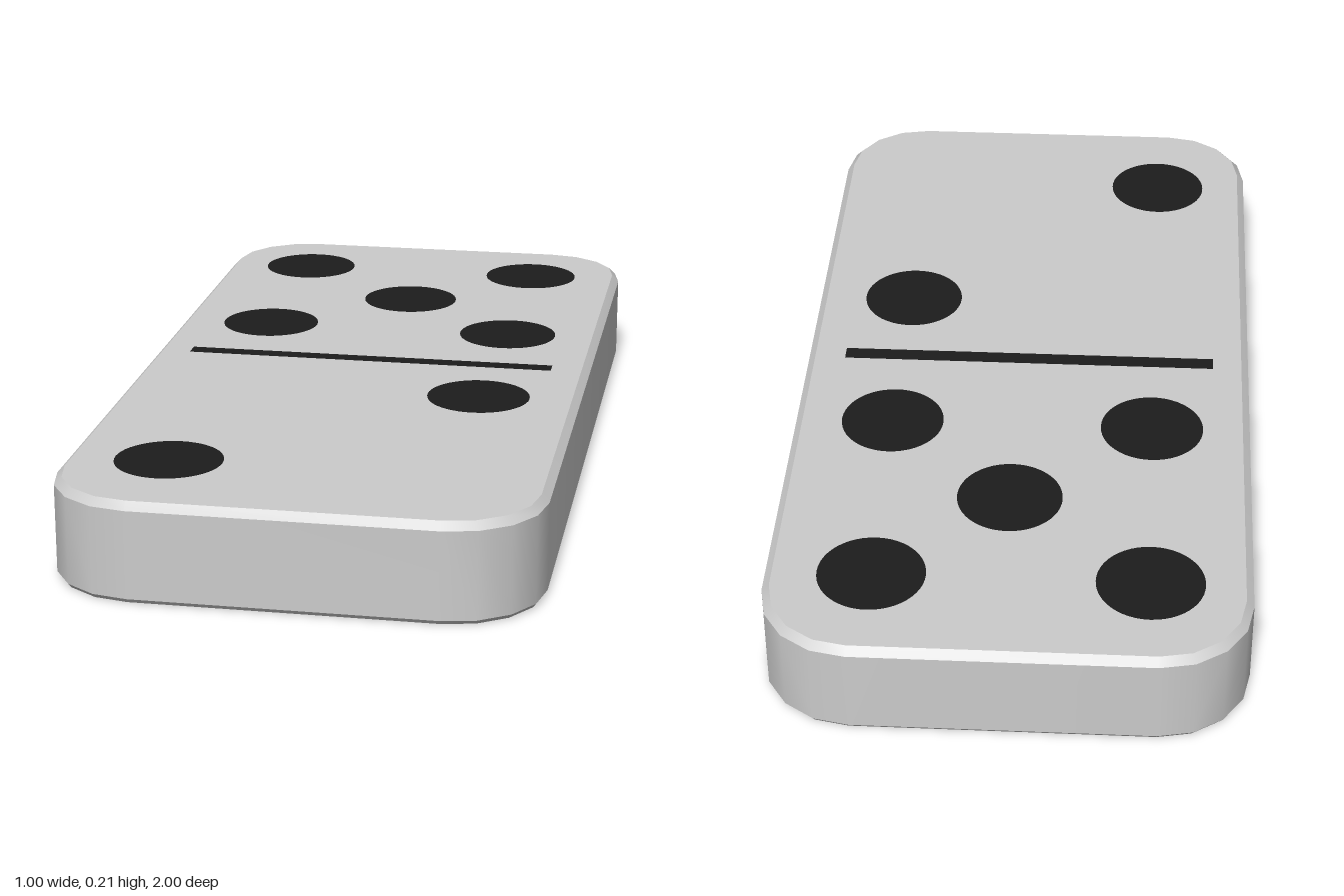
import * as THREE from 'three';
import { toCreasedNormals } from 'three/addons/utils/BufferGeometryUtils.js';
import { ConvexGeometry } from 'three/addons/geometries/ConvexGeometry.js';

const HEIGHT = 0.212;
const PROUD = 0.001; // how far the markings stand out of both faces

// Rounded-rectangle outline at height y, shrunk by inset
function outline(y, inset) {
  const radius = 0.19, steps = 4, points = [];
  for (let corner = 0; corner < 4; corner++) {
    const sx = corner === 0 || corner === 3 ? 1 : -1;
    const sz = corner < 2 ? 1 : -1;
    for (let i = 0; i <= steps; i++) {
      const a = (corner + i / steps) * Math.PI / 2;
      points.push(new THREE.Vector3(
        sx * (0.5 - radius) + Math.cos(a) * (radius - inset),
        y,
        sz * (1 - radius) + Math.sin(a) * (radius - inset)));
    }
  }
  return points;
}

export function createModel() {
  const group = new THREE.Group();
  group.name = 'dominoTile';
  const bodyMaterial = new THREE.MeshStandardMaterial({ color: 0xcccccc });
  const markMaterial = new THREE.MeshStandardMaterial({ color: 0x1c1c1c });

  function add(name, geometry, material, x = 0, y = 0, z = 0) {
    const mesh = new THREE.Mesh(geometry, material);
    mesh.name = name;
    mesh.position.set(x, y, z);
    group.add(mesh);
  }

  // Tile body: bevelled top edge, slightly eased bottom edge
  const rings = [
    ...outline(PROUD, 0.007),
    ...outline(0.01, 0),
    ...outline(0.195, 0),
    ...outline(HEIGHT - PROUD, 0.016),
  ];
  add('body', toCreasedNormals(new ConvexGeometry(rings), 0.5), bodyMaterial);

  // Pips run right through the tile: five at the back, two at the front
  const pips = [
    [-0.29, -0.765], [0.28, -0.765], [0.012, -0.505], [-0.285, -0.25], [0.285, -0.25],
    [0.28, 0.225], [-0.285, 0.74],
  ];
  const pip = new THREE.CylinderGeometry(0.112, 0.112, HEIGHT, 48);
  pips.forEach(([x, z], i) => add(`pip${i + 1}`, pip, markMaterial, x, HEIGHT / 2, z));

  // Dividing bar
  add('divider', new THREE.BoxGeometry(0.835, HEIGHT, 0.036), markMaterial, -0.002, HEIGHT / 2, -0.004);

  return group;
}
